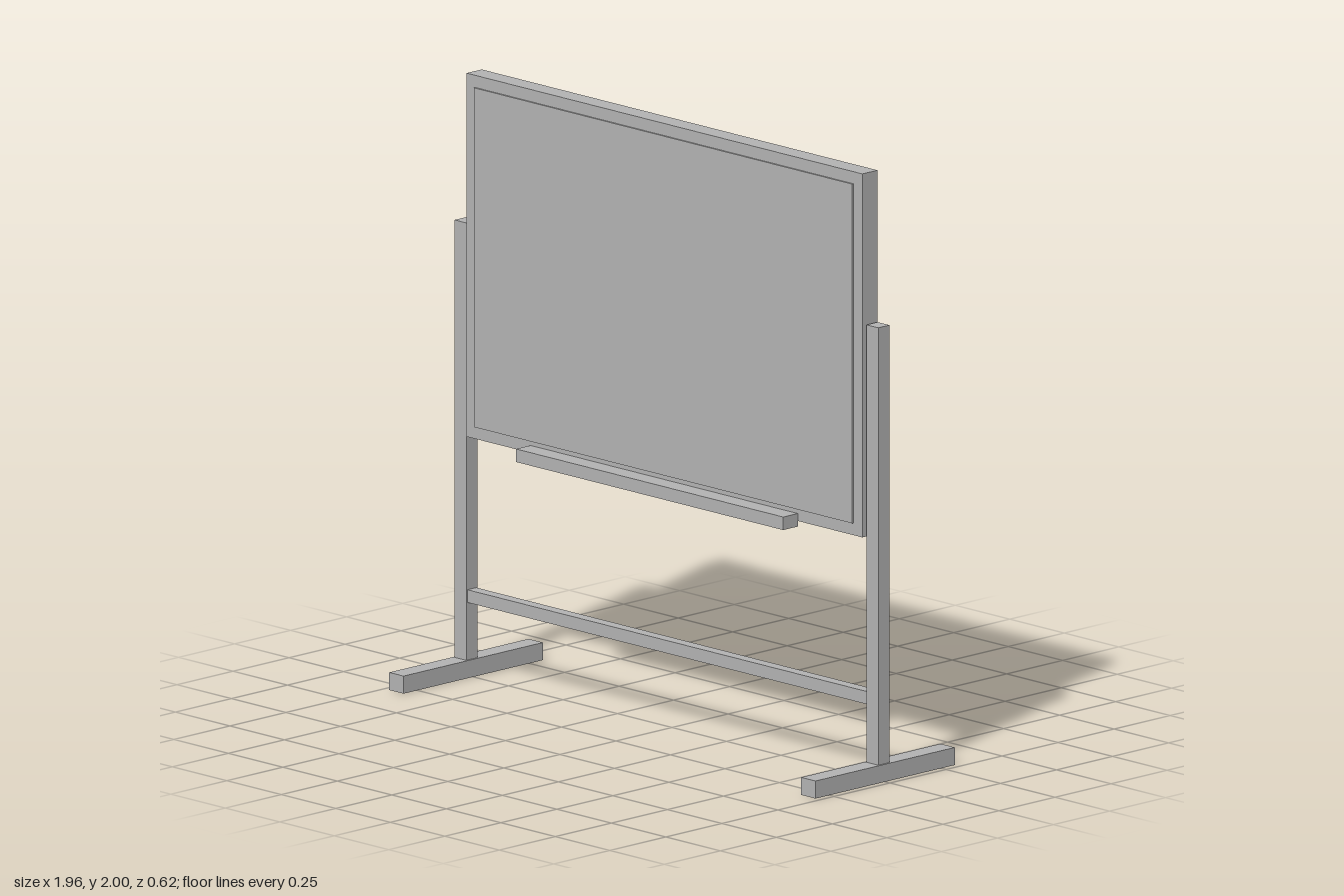
import * as THREE from 'three';

export function createModel() {
  const model = new THREE.Group();
  model.name = 'mobileBoard';
  const grey = new THREE.MeshStandardMaterial({ name: 'grey', color: 0xb3b3b3 });

  // Box given by its lower and upper corner
  function box(name, [x0, y0, z0], [x1, y1, z1]) {
    const mesh = new THREE.Mesh(new THREE.BoxGeometry(x1 - x0, y1 - y0, z1 - z0), grey);
    mesh.position.set((x0 + x1) / 2, (y0 + y1) / 2, (z0 + z1) / 2);
    mesh.name = name;
    model.add(mesh);
  }

  // Framed board with a slightly raised writing surface on both faces
  box('boardFrame', [-0.908, 0.8, -0.034], [0.908, 2, 0.034]);
  box('frontWritingSurface', [-0.868, 0.84, 0.034], [0.868, 1.96, 0.04]);
  box('backWritingSurface', [-0.868, 0.84, -0.04], [0.868, 1.96, -0.034]);

  // Pen tray under the front face
  box('penTray', [-0.613, 0.782, 0.035], [0.613, 0.825, 0.1]);

  // Stand: crossbar, posts and feet
  box('crossbar', [-0.918, 0.248, -0.02], [0.918, 0.29, 0.02]);
  for (const [side, s] of [['left', 1], ['right', -1]]) {
    const span = (a, b) => (s > 0 ? [a, b] : [-b, -a]);
    const [p0, p1] = span(0.918, 0.972);
    const [f0, f1] = span(0.912, 0.978);
    box(side + 'Post', [p0, 0.058, -0.025], [p1, 1.502, 0.025]);
    box(side + 'Foot', [f0, 0, -0.311], [f1, 0.058, 0.311]);
  }
  return model;
}
